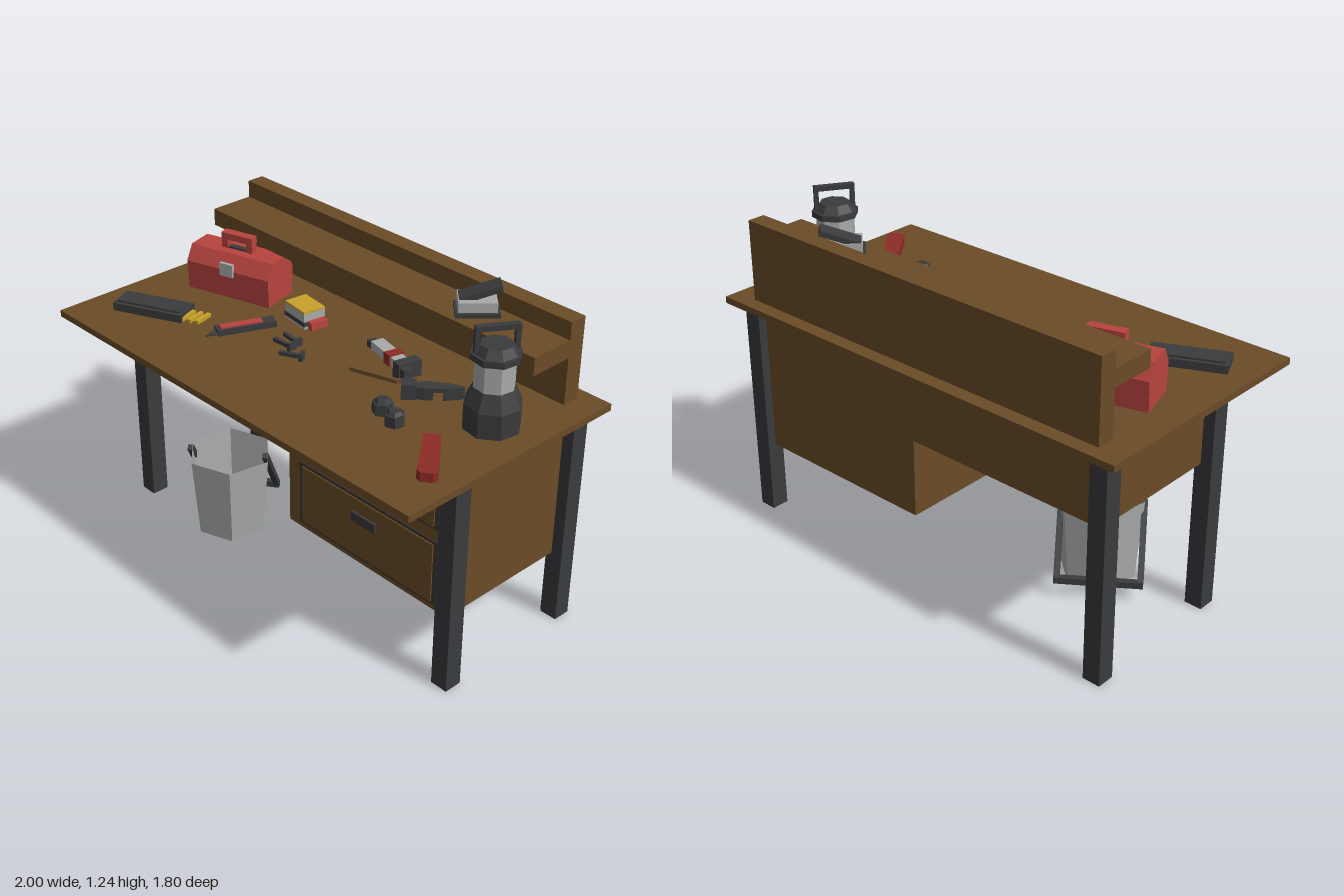
import * as THREE from 'three';

const mat = (name, color, side = THREE.FrontSide) => {
  const m = new THREE.MeshStandardMaterial({ color, side });
  m.name = name;
  return m;
};

export function createModel() {
  const wood = mat('brown wood', 0x6b4c27);
  const dark = mat('dark metal', 0x3a3b3d);
  const steel = mat('light steel', 0xa9abab, THREE.DoubleSide);
  const red = mat('red paint', 0xb8443f);
  const grip = mat('dark red grip', 0x8c2c26);
  const yellow = mat('yellow plastic', 0xc9a22c);
  const trim = mat('drawer trim', 0x40382f);

  const model = new THREE.Group();
  model.name = 'workbench';
  const group = (name, x = 0, y = 0, z = 0, turn = 0, parent = model) => {
    const g = new THREE.Group();
    g.name = name;
    g.position.set(x, y, z);
    g.rotation.y = turn;
    parent.add(g);
    return g;
  };
  const add = (parent, name, geo, material, x = 0, y = 0, z = 0) => {
    const m = new THREE.Mesh(geo, material);
    m.name = name;
    m.position.set(x, y, z);
    parent.add(m);
    return m;
  };
  // Box given by its extents on each axis
  const block = (parent, name, material, x0, x1, y0, y1, z0, z1) =>
    add(parent, name, new THREE.BoxGeometry(x1 - x0, y1 - y0, z1 - z0), material,
      (x0 + x1) / 2, (y0 + y1) / 2, (z0 + z1) / 2);
  // Faceted cylinder standing on y0
  const drum = (parent, name, material, rTop, rBottom, y0, y1, sides = 6, open = false) => {
    const g = new THREE.CylinderGeometry(rTop, rBottom, y1 - y0, sides, 1, open).toNonIndexed();
    g.computeVertexNormals();
    return add(parent, name, g, material, 0, (y0 + y1) / 2, 0);
  };
  // Square bar between two points
  const bar = (parent, name, material, a, b, w, h = w) => {
    const p = new THREE.Vector3(...a), q = new THREE.Vector3(...b);
    const m = add(parent, name, new THREE.BoxGeometry(w, h, p.distanceTo(q)), material);
    m.position.copy(p).add(q).multiplyScalar(0.5);
    m.rotation.order = 'YXZ';
    const d = q.sub(p).normalize();
    m.rotation.set(-Math.asin(d.y), Math.atan2(d.x, d.z), 0);
    return m;
  };
  // Flat outline (x, z) raised to a thickness
  const slab = (parent, name, material, pts, y, height) => {
    const s = new THREE.Shape(pts.map(([x, z]) => new THREE.Vector2(x, -z)));
    const g = new THREE.ExtrudeGeometry(s, { depth: height, bevelEnabled: false });
    g.rotateX(-Math.PI / 2);
    return add(parent, name, g, material, 0, y, 0);
  };

  // Bench, standing at an angle
  const bench = group('bench', 0, 0, 0, -0.618);
  block(bench, 'tabletop', wood, -0.89, 0.89, 0.845, 0.87, -0.473, 0.473);
  for (const x of [-0.8, 0.8])
    for (const z of [-0.396, 0.168])
      block(bench, 'leg', dark, x - 0.034, x + 0.034, 0, 0.845, z - 0.034, z + 0.034);
  block(bench, 'drawerCabinet', wood, 0.022, 0.79, 0.27, 0.845, -0.396, 0.17);
  block(bench, 'apron', wood, -0.79, 0.022, 0.57, 0.845, -0.396, 0.17);
  block(bench, 'backboard', wood, -0.79, 0.79, 0.87, 1.175, -0.42, -0.352);
  block(bench, 'shelf', wood, -0.79, 0.79, 1.045, 1.11, -0.352, -0.18);

  // Drawers: dark rim with a wooden panel and a handle
  for (const [y0, y1] of [[0.29, 0.545], [0.59, 0.825]]) {
    const drawer = group('drawer', 0, 0, 0, 0, bench);
    block(drawer, 'drawerRim', trim, 0.08, 0.74, y0, y1, 0.17, 0.174);
    block(drawer, 'drawerPanel', wood, 0.097, 0.723, y0 + 0.013, y1 - 0.013, 0.17, 0.179);
    const y = y1 - 0.083;
    block(drawer, 'drawerHandle', dark, 0.353, 0.467, y - 0.018, y + 0.018, 0.179, 0.188);
  }

  // Bucket with its handle hanging behind
  const bucket = group('bucket', -0.387, 0, -0.165);
  drum(bucket, 'bucketWall', steel, 0.165, 0.14, 0, 0.32, 6, true).rotation.y = 0.25;
  drum(bucket, 'bucketBase', steel, 0.139, 0.139, 0.002, 0.01).rotation.y = 0.25;
  for (const x of [-0.158, 0.135])
    bar(bucket, 'bucketHandleArm', dark, [x, 0.31, -0.01], [x, 0.07, -0.185], 0.022);
  bar(bucket, 'bucketHandleBar', dark, [-0.168, 0.07, -0.185], [0.145, 0.07, -0.185], 0.024);

  // Toolbox with a sloping lid
  const toolbox = group('toolbox', -0.4, 0.87, -0.435, -0.33);
  const profile = new THREE.Shape([[-0.08, 0], [0.08, 0], [0.085, 0.11], [0.05, 0.165], [-0.05, 0.165], [-0.085, 0.11]]
    .map(([x, y]) => new THREE.Vector2(x, y)));
  const shell = new THREE.ExtrudeGeometry(profile, { depth: 0.355, bevelEnabled: false });
  shell.translate(0, 0, -0.1775).rotateY(Math.PI / 2);
  add(toolbox, 'toolboxBody', shell, red);
  for (const s of [-1, 1])
    block(toolbox, 'toolboxHandlePost', red, s * 0.053 - 0.013, s * 0.053 + 0.013, 0.16, 0.215, -0.016, 0.016);
  block(toolbox, 'toolboxHandleGrip', red, -0.066, 0.066, 0.2, 0.225, -0.018, 0.018);
  block(toolbox, 'toolboxHandlePlate', dark, -0.04, 0.04, 0.165, 0.171, -0.012, 0.012);
  block(toolbox, 'toolboxLatch', steel, -0.028, 0.028, 0.09, 0.14, 0.08, 0.094);

  // Lantern
  const lantern = group('lantern', 0.63, 0.87, 0.345, 0.4);
  drum(lantern, 'lanternBase', dark, 0.098, 0.098, 0, 0.09, 8);
  drum(lantern, 'lanternShoulder', dark, 0.07, 0.098, 0.09, 0.15, 8);
  drum(lantern, 'lanternGlass', steel, 0.07, 0.07, 0.15, 0.25, 8);
  drum(lantern, 'lanternCollar', dark, 0.085, 0.085, 0.25, 0.272, 8);
  drum(lantern, 'lanternCap', dark, 0.055, 0.075, 0.272, 0.3, 8);
  for (const x of [-0.066, 0.066])
    block(lantern, 'lanternHandleArm', dark, x - 0.008, x + 0.008, 0.27, 0.365, -0.01, 0.01);
  block(lantern, 'lanternHandleBar', dark, -0.074, 0.074, 0.347, 0.365, -0.012, 0.012);

  // Claw hammer lying on the top
  const hammer = group('hammer');
  slab(hammer, 'hammerShaft', wood,
    [[0.425, 0.22], [0.455, 0.22], [0.468, 0.32], [0.485, 0.5], [0.44, 0.5], [0.435, 0.34]], 0.878, 0.022);
  slab(hammer, 'hammerGrip', grip,
    [[0.432, 0.49], [0.488, 0.49], [0.51, 0.7], [0.497, 0.715], [0.455, 0.715], [0.442, 0.7]], 0.871, 0.034);
  slab(hammer, 'hammerHead', dark,
    [[0.36, 0.2], [0.4, 0.185], [0.47, 0.185], [0.525, 0.195], [0.52, 0.205], [0.465, 0.225], [0.4, 0.235], [0.36, 0.235]], 0.871, 0.045);
  slab(hammer, 'hammerFace', dark, [[0.315, 0.2], [0.365, 0.195], [0.37, 0.24], [0.32, 0.25]], 0.871, 0.055);

  // Stapler resting on the shelf
  const stapler = group('stapler', 0.54, 1.11, 0.02, 0.2);
  block(stapler, 'staplerBody', steel, -0.075, 0.055, 0.005, 0.05, -0.05, 0.05);
  block(stapler, 'staplerFoot', dark, -0.085, 0.065, 0, 0.015, -0.04, 0.06);
  bar(stapler, 'staplerLever', dark, [-0.07, 0.04, -0.01], [0.07, 0.09, -0.01], 0.07, 0.02);

  // Dark case with three drill bits
  const drillCase = group('drillCase', -0.665, 0.87, -0.2, -0.18);
  block(drillCase, 'caseBody', dark, -0.138, 0.138, 0, 0.03, -0.054, 0.054);
  block(drillCase, 'caseLid', dark, -0.125, 0.125, 0.03, 0.037, -0.04, 0.04);
  for (let i = 0; i < 3; i++)
    bar(drillCase, 'drillBit', yellow, [0.15 + i * 0.03, 0.01, -0.03], [0.135 + i * 0.03, 0.01, 0.045], 0.014);

  // Tape measure
  const tape = group('tapeMeasure', -0.105, 0.87, -0.235, -0.75);
  block(tape, 'tapeBody', steel, -0.065, 0.055, 0, 0.06, -0.045, 0.045);
  block(tape, 'tapeTop', yellow, -0.065, 0.055, 0.06, 0.068, -0.045, 0.045);
  block(tape, 'tapeMouth', red, 0.055, 0.08, 0, 0.03, -0.04, 0.03);
  block(tape, 'tapeBand', dark, -0.068, 0.058, 0.012, 0.028, -0.048, 0.048);

  // Utility knife
  const knife = group('utilityKnife', -0.31, 0.87, -0.125, 0.56);
  block(knife, 'knifeBody', dark, -0.1, 0.12, 0, 0.022, -0.024, 0.024);
  block(knife, 'knifeInlay', red, -0.085, 0.07, 0.022, 0.028, -0.014, 0.014);
  slab(knife, 'knifeBlade', dark, [[-0.145, 0.022], [-0.1, -0.018], [-0.1, 0.022]], 0.006, 0.006);

  // Pipe wrench and a thin stick beside it
  const wrench = group('wrench', 0.25, 0.87, 0.01, -0.86);
  block(wrench, 'wrenchHandle', dark, -0.14, -0.03, 0.005, 0.03, -0.016, 0.016);
  block(wrench, 'wrenchNeck', steel, -0.1, 0.08, 0.012, 0.045, -0.024, 0.024);
  block(wrench, 'wrenchRing', grip, -0.005, 0.03, 0.008, 0.05, -0.03, 0.03);
  block(wrench, 'wrenchJaw', dark, 0.08, 0.12, 0, 0.06, -0.045, 0.045);
  block(wrench, 'wrenchTip', dark, 0.12, 0.145, 0, 0.05, 0.005, 0.04);
  bar(model, 'stick', wood, [0.12, 0.877, 0.085], [0.29, 0.877, 0.14], 0.014);
  bar(model, 'stickEnd', wood, [0.285, 0.877, 0.14], [0.345, 0.877, 0.115], 0.014);

  // Loose screws
  for (const [x, z, turn] of [[-0.12, -0.07, -0.75], [-0.14, -0.03, -0.55], [-0.095, 0.045, -0.15]]) {
    const screw = group('screw', x, 0.87, z, turn);
    block(screw, 'screwShank', dark, -0.045, 0.04, 0.006, 0.02, -0.007, 0.007);
    block(screw, 'screwHead', dark, 0.032, 0.045, 0, 0.03, -0.016, 0.016);
  }

  // Loose nuts
  for (const [x, z, turn] of [[0.275, 0.335, 0.5], [0.325, 0.4, 0.2]]) {
    const nut = group('nut', x, 0.87, z, turn);
    drum(nut, 'nutBody', dark, 0.036, 0.036, 0, 0.04);
    drum(nut, 'nutCollar', dark, 0.022, 0.03, 0.04, 0.052);
  }
  return model;
}
